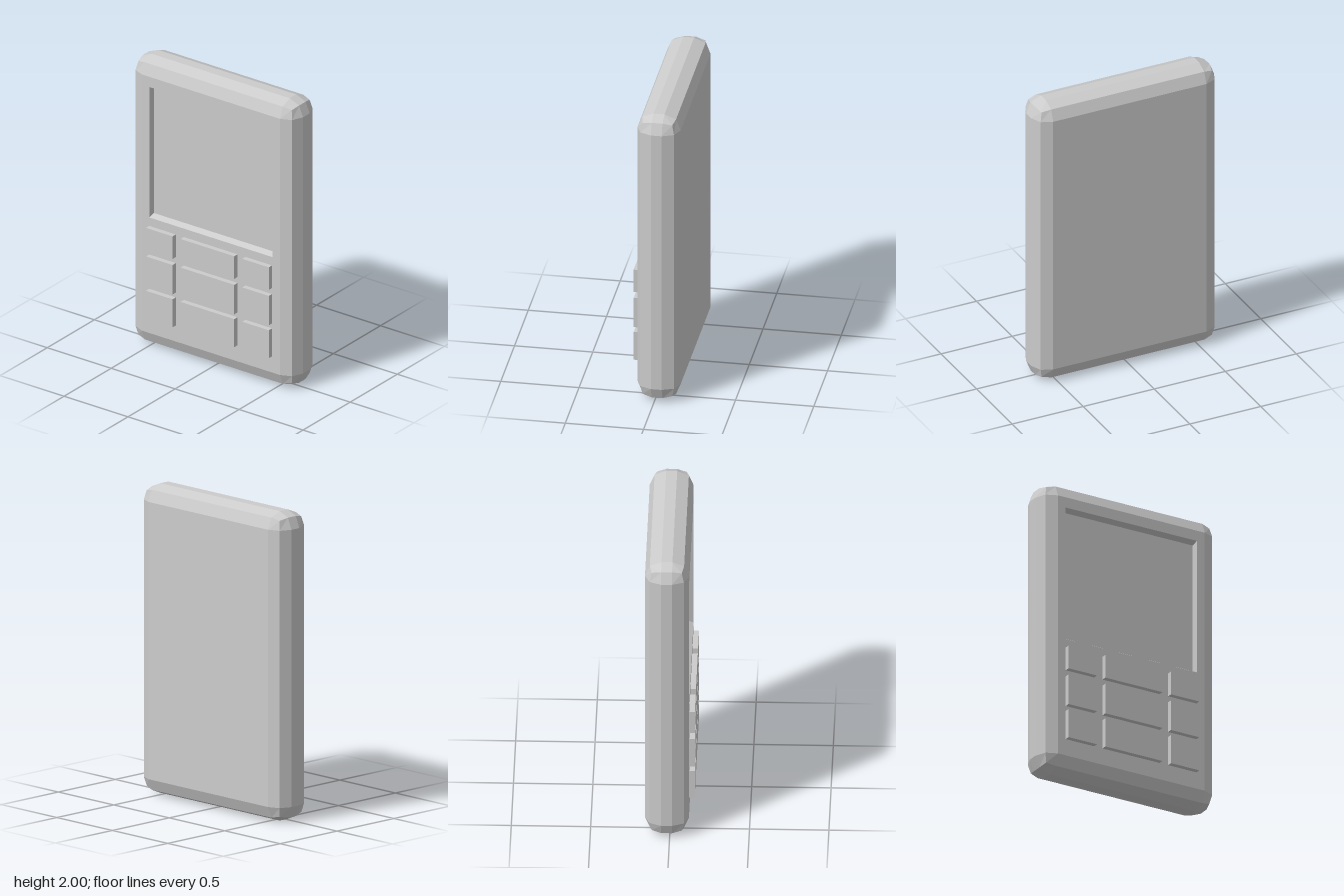
import * as THREE from 'three';

const mat = new THREE.MeshStandardMaterial({ color: 0xcccccc, flatShading: true });
const FRONT = 0.12, BACK = -0.157, HALF_W = 0.643, HEIGHT = 2, R = 0.104;
const RECESS = 0.036;

function add(group, name, geometry, x = 0, y = 0, z = 0) {
  const mesh = new THREE.Mesh(geometry, mat);
  mesh.name = name;
  mesh.position.set(x, y, z);
  group.add(mesh);
  return mesh;
}

// Box with two-step rounded edges; the flat middle of the front is left open
function shellGeometry() {
  const g = new THREE.BoxGeometry(2, 2, 2, 3, 3, 3);
  const inner = new THREE.Vector3(HALF_W - R, HEIGHT / 2 - R, (FRONT - BACK) / 2 - R);
  const pos = g.attributes.position;
  const v = new THREE.Vector3(), dir = new THREE.Vector3();
  for (let i = 0; i < pos.count; i++) {
    v.fromBufferAttribute(pos, i);
    dir.set(Math.trunc(v.x * 1.001), Math.trunc(v.y * 1.001), Math.trunc(v.z * 1.001));
    dir.normalize().multiplyScalar(R);
    v.set(Math.sign(v.x), Math.sign(v.y), Math.sign(v.z)).multiply(inner).add(dir);
    pos.setXYZ(i, v.x, v.y, v.z);
  }
  // Middle quad of the front side: fifth side, fifth of nine quads
  const index = Array.from(g.index.array);
  index.splice((4 * 9 + 4) * 6, 6);
  g.setIndex(index);
  g.clearGroups();
  g.computeVertexNormals();
  return g;
}

// Corners of a rectangle, counter-clockwise from the front
const rect = (x, y0, y1) => [[-x, y0], [x, y0], [x, y1], [-x, y1]];
const points = (corners) => corners.map(([x, y]) => new THREE.Vector2(x, y));

// Four sloped walls running from the outer rectangle back to the inner one
function wallsGeometry(outer, inner) {
  const verts = [], index = [];
  for (let i = 0; i < 4; i++) {
    const j = (i + 1) % 4, n = i * 4;
    verts.push(...outer[i], FRONT, ...outer[j], FRONT);
    verts.push(...inner[j], FRONT - RECESS, ...inner[i], FRONT - RECESS);
    index.push(n, n + 1, n + 2, n, n + 2, n + 3);
  }
  const g = new THREE.BufferGeometry();
  g.setAttribute('position', new THREE.Float32BufferAttribute(verts, 3));
  g.setIndex(index);
  g.computeVertexNormals();
  return g;
}

export function createModel() {
  const model = new THREE.Group();
  model.name = 'handheldDevice';

  // Case
  add(model, 'caseShell', shellGeometry(), 0, HEIGHT / 2, (FRONT + BACK) / 2);

  // Front panel with the screen opening
  const opening = rect(0.482, 0.912, 1.825);
  const floor = rect(0.472, 0.932, 1.805);
  const panel = new THREE.Shape(points(rect(HALF_W - R, R, HEIGHT - R)));
  panel.holes.push(new THREE.Path(points(opening).reverse()));
  add(model, 'frontPanel', new THREE.ShapeGeometry(panel), 0, 0, FRONT);

  // Recessed screen
  add(model, 'screenBezel', wallsGeometry(opening, floor));
  add(model, 'screen', new THREE.ShapeGeometry(new THREE.Shape(points(floor))), 0, 0, FRONT - RECESS);

  // Keypad: three rows of three keys
  const keypad = new THREE.Group();
  keypad.name = 'keypad';
  model.add(keypad);
  const columns = [[-0.482, -0.274], [-0.212, 0.208], [0.27, 0.478]];
  const rows = [[0.695, 0.853], [0.447, 0.653], [0.217, 0.413]];
  const keyBack = FRONT - 0.02, keyFront = 0.155;
  rows.forEach(([y0, y1], r) => columns.forEach(([x0, x1], c) => {
    add(keypad, `keyRow${r + 1}Column${c + 1}`,
      new THREE.BoxGeometry(x1 - x0, y1 - y0, keyFront - keyBack),
      (x0 + x1) / 2, (y0 + y1) / 2, (keyBack + keyFront) / 2);
  }));

  return model;
}
